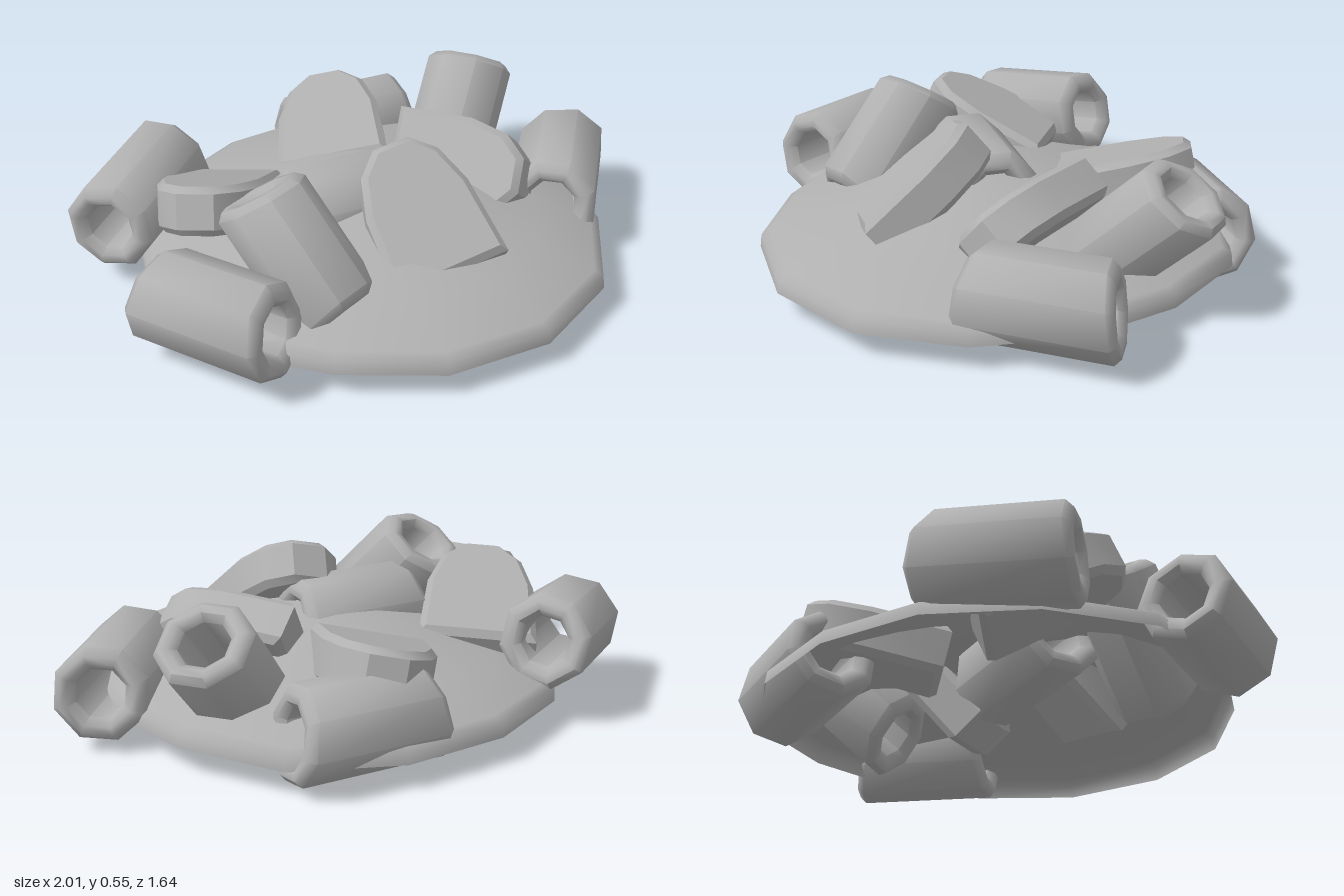
import * as THREE from 'three';
import { toCreasedNormals } from 'three/addons/utils/BufferGeometryUtils.js';

const V = (a) => new THREE.Vector3(...a);
const V2 = (a) => new THREE.Vector2(...a);

// Hollow octagonal tube along y; both ends are cut at a slant so the +x side is shorter
function tubeGeometry() {
  const h = 0.245, outer = 0.162, inner = 0.085, b = 0.025, slant = 0.18;
  const profile = [
    [inner, -h + b], [inner + b, -h], [outer - b, -h], [outer, -h + b],
    [outer, h - b], [outer - b, h], [inner + b, h], [inner, h - b], [inner, -h + b],
  ].map(V2);
  const geo = new THREE.LatheGeometry(profile, 8, Math.PI / 8);
  const p = geo.attributes.position;
  for (let i = 0; i < p.count; i++) {
    p.setY(i, p.getY(i) - Math.sign(p.getY(i)) * slant * p.getX(i));
  }
  return toCreasedNormals(geo, 0.9);
}

// Thick slice with a straight base and a rounded tip towards +y, face towards +z
function sliceGeometry() {
  const depth = 0.12, b = 0.023, n = 7;
  const shape = new THREE.Shape();
  for (let i = 0; i <= n; i++) {
    const a = (i / n) * Math.PI;
    const x = 0.18 * Math.sign(Math.cos(a)) * Math.abs(Math.cos(a)) ** 0.8;
    const y = -0.24 + 0.46 * Math.sin(a) ** 0.72;
    if (i) shape.lineTo(x, y); else shape.moveTo(x, y);
  }
  shape.closePath();
  const geo = new THREE.ExtrudeGeometry(shape, {
    depth, bevelEnabled: true, bevelSize: b, bevelThickness: b, bevelSegments: 1,
  });
  geo.translate(0, 0, -depth - b); // face lies on z = 0
  return toCreasedNormals(geo, 0.75);
}

// Open low mound with a small upright rim and a slightly uneven outline
function moundGeometry() {
  const profile = [
    [1, 0.1], [0.993, 0.145], [0.955, 0.165], [0.72, 0.225],
    [0.5, 0.284], [0.24, 0.34], [0.001, 0.37],
  ].map(V2);
  const radii = [0.84, 0.846, 0.82, 0.81, 0.82, 0.865, 0.844,
    0.825, 0.83, 0.83, 0.85, 0.82, 0.785, 0.815];
  const geo = new THREE.LatheGeometry(profile, 14, Math.PI / 14);
  const p = geo.attributes.position;
  for (let i = 0; i < p.count; i++) {
    const r = radii[Math.floor(i / profile.length) % 14];
    p.setX(i, p.getX(i) * r);
    p.setZ(i, p.getZ(i) * r);
  }
  return toCreasedNormals(geo, 1.2);
}

export function createModel() {
  const root = new THREE.Group();
  const grey = new THREE.MeshStandardMaterial({ color: 0xb0b0b0, side: THREE.DoubleSide });
  grey.name = 'plain grey';

  const add = (name, geo) => {
    const m = new THREE.Mesh(geo, grey);
    m.name = name;
    root.add(m);
    return m;
  };

  add('mound', moundGeometry());

  // Places a part by its own y axis and a second direction that its x or z axis follows
  const place = (m, x, y, z, at) => {
    m.quaternion.setFromRotationMatrix(new THREE.Matrix4().makeBasis(x, y, z));
    m.position.copy(at);
  };

  // Tubes: two axis end points and the direction of the short side
  const tubes = [
    ['frontRightTube', [-0.87, 0.23, 0.07], [-0.615, 0.235, 0.51], [0.4, 0.9, -0.2]],
    ['leftTube', [0.885, 0.21, -0.08], [0.575, 0.21, 0.28], [-0.6, 0.7, -0.5]],
    ['backRightTube', [-0.88, 0.24, -0.31], [-0.49, 0.3, -0.605], [0.4, 0.9, 0.5]],
    ['backLeftTube', [0.01, 0.195, -0.66], [0.49, 0.19, -0.63], [0, 1, 0.2]],
    ['middleTube', [-0.355, 0.29, -0.01], [0.12, 0.285, 0.02], [0, 1, 0]],
    ['uprightFrontTube', [-0.485, 0.49, 0.085], [-0.35, 0.135, 0.41], [0, 1, 0.4]],
    ['uprightBackTube', [0.67, 0.455, -0.41], [0.41, 0.13, -0.2], [0, 1, 0]],
  ];
  const tubeGeo = tubeGeometry();
  for (const [name, a, b, side] of tubes) {
    const y = V(b).sub(V(a)).normalize();
    const z = V(side).cross(y).normalize();
    const middle = V(a).add(V(b)).multiplyScalar(0.5);
    place(add(name, tubeGeo), y.clone().cross(z), y, z, middle);
  }

  // Slices: centre of the face, direction of the tip, direction the face looks
  const slices = [
    ['frontSlice', [0.008, 0.41, 0.3], [-0.03, 0.6, -0.78], [-0.26, 0.75, 0.6]],
    ['backSlice', [0.075, 0.375, -0.48], [0.4, 0.22, -0.87], [-0.3, 0.93, 0.2]],
    ['rightSlice', [-0.52, 0.395, -0.21], [-0.56, 0.4, 0.72], [0.2, 0.9, -0.36]],
    ['leftSlice', [0.305, 0.335, 0.065], [0.58, 0.1, 0.78], [-0.65, 0.62, 0.4]],
  ];
  const sliceGeo = sliceGeometry();
  for (const [name, at, tip, face] of slices) {
    const y = V(tip).normalize();
    const x = y.clone().cross(V(face)).normalize();
    place(add(name, sliceGeo), x, y, x.clone().cross(y), V(at));
  }
  return root;
}
